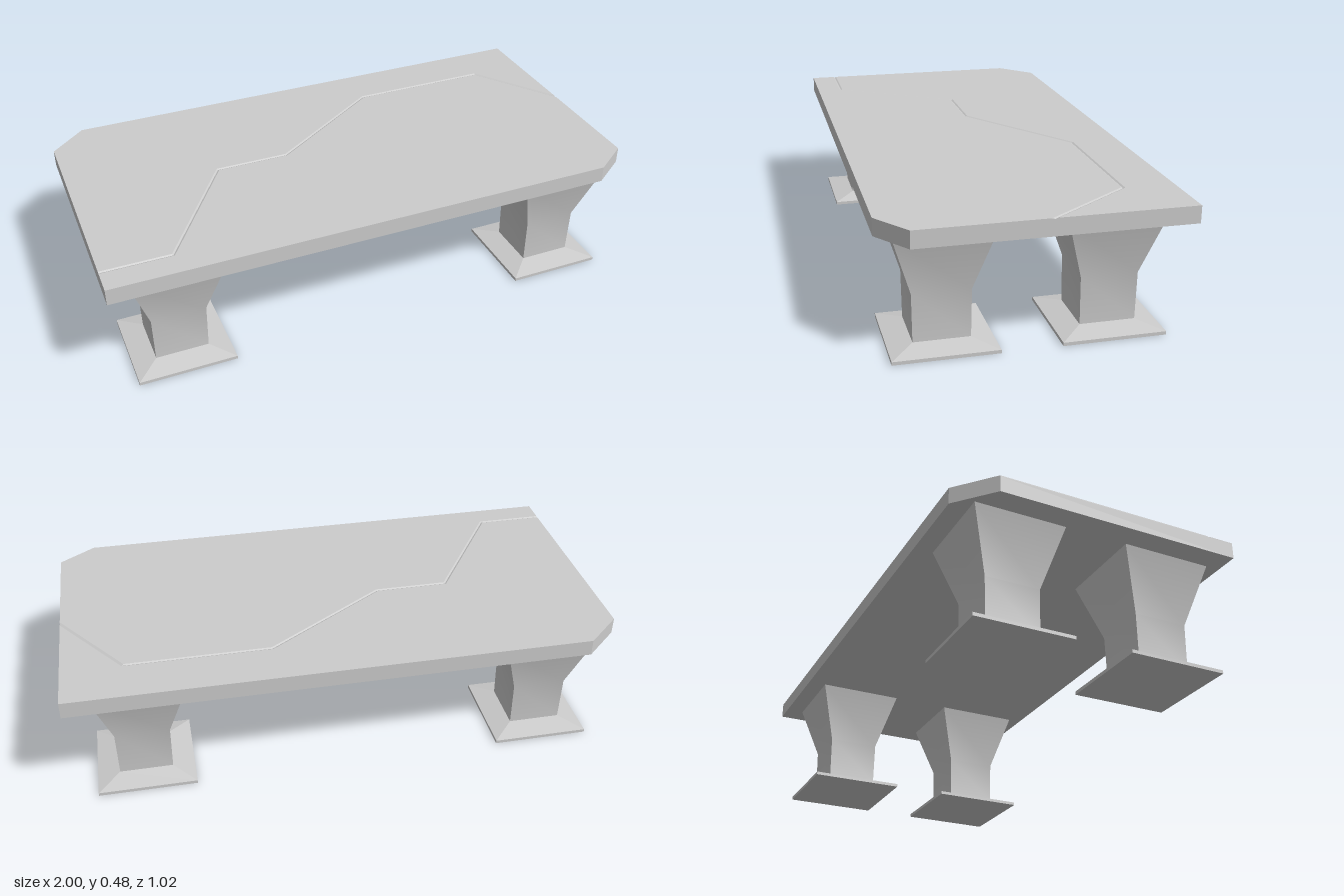
import * as THREE from 'three';
import { toCreasedNormals } from 'three/addons/utils/BufferGeometryUtils.js';

const UNDERSIDE = 0.418, GROOVE_FLOOR = 0.475, SURFACE = 0.478, GROOVE_HALF = 0.006;

// Zigzag groove centreline, as (x, z), from the left edge to the right edge of the plan
const groove = [[-1, 0.41], [-0.75, 0.41], [-0.46, -0.03], [-0.19, -0.03],
  [0.26, -0.33], [0.785, -0.33], [1, -0.03]].map(([x, z]) => new THREE.Vector2(x, z));

// Table outline on each side of the groove, right to left, with one clipped corner each
const backEdge = [[1, -0.508], [-0.87, -0.508], [-1, -0.39]].map(([x, z]) => new THREE.Vector2(x, z));
const frontEdge = [[1, 0.415], [0.87, 0.508], [-1, 0.508]].map(([x, z]) => new THREE.Vector2(x, z));

// Shift the groove line sideways with mitred corners; its ends stay on the table edge
function offsetGroove(distance) {
  const normal = (a, b) => new THREE.Vector2(a.y - b.y, b.x - a.x).normalize();
  return groove.map((p, i) => {
    const before = normal(groove[Math.max(i - 1, 0)], groove[Math.max(i, 1)]);
    const last = groove.length - 1;
    const after = normal(groove[Math.min(i, last - 1)], groove[Math.min(i + 1, last)]);
    if (i === 0 || i === last) return new THREE.Vector2(p.x, p.y + distance / after.y);
    const mitre = before.clone().add(after).normalize();
    return p.clone().addScaledVector(mitre, distance / mitre.dot(after));
  });
}

// Flat plate between two heights from a plan outline
function plate(outline, bottom, top) {
  const shape = new THREE.Shape(outline.map(p => new THREE.Vector2(p.x, -p.y)));
  const geometry = new THREE.ExtrudeGeometry(shape, { depth: top - bottom, bevelEnabled: false });
  return geometry.rotateX(-Math.PI / 2).translate(0, bottom, 0);
}

// Thin surface plate whose groove wall slopes down to the centreline
function surfacePlate(edge, side) {
  const rim = offsetGroove(side * GROOVE_HALF);
  const geometry = plate([...rim, ...edge], GROOVE_FLOOR, SURFACE);
  const pos = geometry.attributes.position;
  for (let i = 0; i < pos.count; i++) {
    if (pos.getY(i) > GROOVE_FLOOR + 0.001) continue;
    const k = rim.findIndex(p => Math.hypot(p.x - pos.getX(i), p.y - pos.getZ(i)) < 1e-4);
    if (k >= 0) pos.setXYZ(i, groove[k].x, GROOVE_FLOOR, groove[k].y);
  }
  geometry.computeVertexNormals();
  return geometry;
}

// Square-section post from a profile of [half width, height]
function squarePost(profile, crease) {
  const points = profile.map(([w, y]) => new THREE.Vector2(w * Math.SQRT2, y));
  const geometry = new THREE.LatheGeometry(points, 4).rotateY(Math.PI / 4);
  return toCreasedNormals(geometry, crease);
}

export function createModel() {
  const model = new THREE.Group();
  model.name = 'lowTable';
  const material = new THREE.MeshStandardMaterial({ color: 0xcccccc });
  const add = (parent, name, geometry) => {
    const mesh = new THREE.Mesh(geometry, material);
    mesh.name = name;
    parent.add(mesh);
  };

  // Table top: core slab and two surface plates parted by the groove
  const tableTop = new THREE.Group();
  tableTop.name = 'tableTop';
  model.add(tableTop);
  add(tableTop, 'coreSlab', plate([...frontEdge, ...backEdge.slice().reverse()], UNDERSIDE, GROOVE_FLOOR));
  add(tableTop, 'backSurface', surfacePlate(backEdge, -1));
  add(tableTop, 'frontSurface', surfacePlate(frontEdge, 1));

  // Four flared legs on wide square feet
  const column = squarePost([[0.0965, 0.03], [0.099, 0.2], [0.166, UNDERSIDE]], 0.6);
  const foot = squarePost([[0, 0], [0.178, 0], [0.178, 0.012], [0.0965, 0.03]], 0.3);
  for (const [x, side] of [[0.747, 'Left'], [-0.75, 'Right']]) {
    for (const [z, end] of [[0.29, 'front'], [-0.273, 'back']]) {
      const leg = new THREE.Group();
      leg.name = `${end}${side}Leg`;
      leg.position.set(x, 0, z);
      add(leg, 'column', column);
      add(leg, 'foot', foot);
      model.add(leg);
    }
  }
  return model;
}
